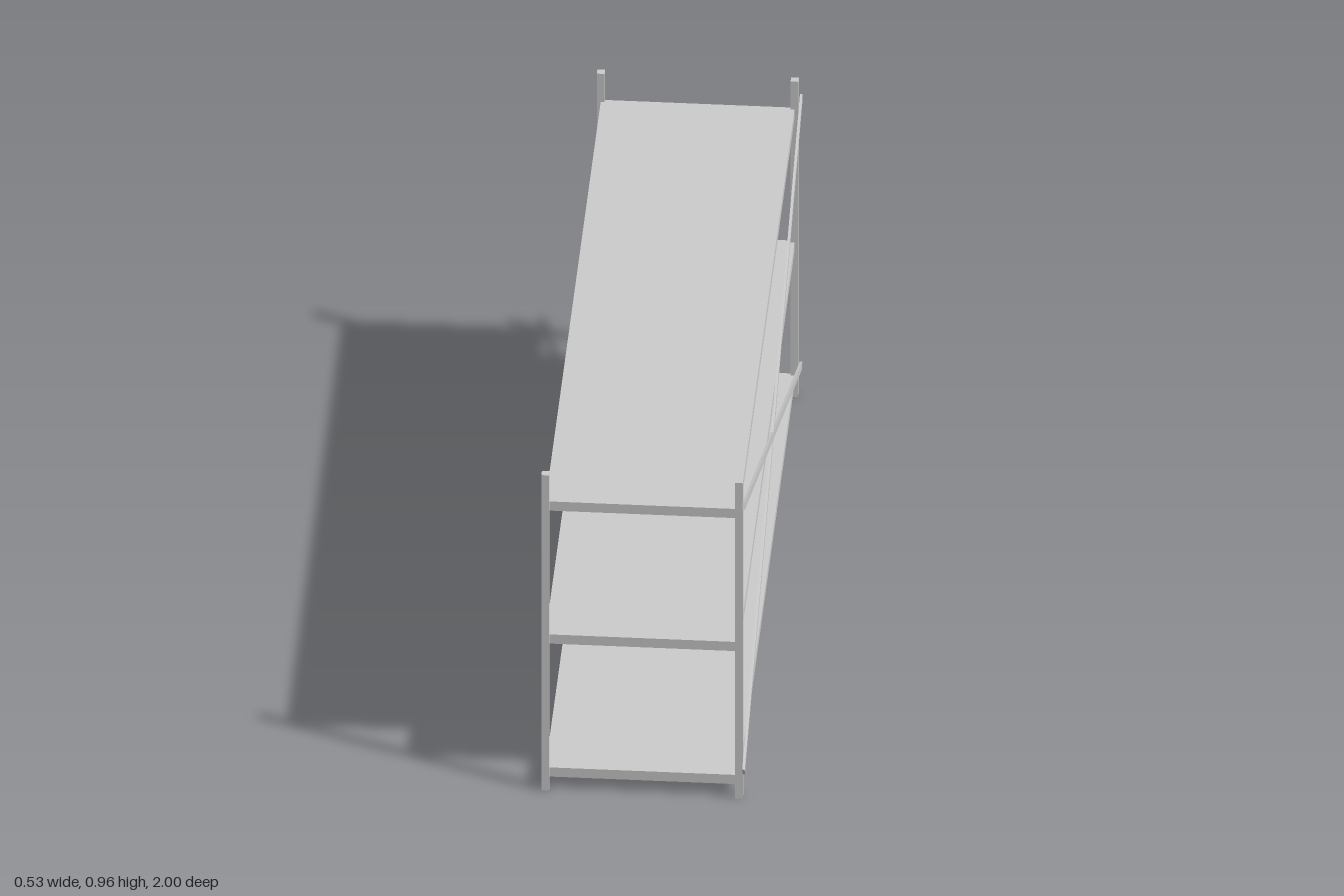
import * as THREE from 'three';

const material = new THREE.MeshStandardMaterial({ color: 0xcccccc, flatShading: true });

const POST_X = [-0.254, 0.246];
const POST_Z = [-0.946, 0.968];
const POST_SIZE = 0.02;
const POST_HEIGHT = 0.965;
const SHELF_THICKNESS = 0.028;

function addBox(parent, name, [w, h, d], [x, y, z]) {
  const mesh = new THREE.Mesh(new THREE.BoxGeometry(w, h, d), material);
  mesh.name = name;
  mesh.position.set(x, y, z);
  parent.add(mesh);
  return mesh;
}

// Flat bar running between two [z, y] points in the plane beside the posts
function addBrace(parent, name, [z0, y0], [z1, y1]) {
  const length = Math.hypot(z1 - z0, y1 - y0);
  const bar = addBox(parent, name, [0.0065, 0.02, length], [0.2593, (y0 + y1) / 2, (z0 + z1) / 2]);
  bar.rotation.x = -Math.atan2(y1 - y0, z1 - z0);
}

export function createModel() {
  const group = new THREE.Group();
  group.name = 'shelvingUnit';

  // Four square corner posts
  for (const x of POST_X) {
    for (const z of POST_Z) {
      const name = (z > 0 ? 'front' : 'back') + (x > 0 ? 'Left' : 'Right') + 'Post';
      addBox(group, name, [POST_SIZE, POST_HEIGHT, POST_SIZE], [x, POST_HEIGHT / 2, z]);
    }
  }

  // Three shelves reaching the centre lines of the posts
  const width = POST_X[1] - POST_X[0];
  const depth = POST_Z[1] - POST_Z[0];
  const midX = (POST_X[0] + POST_X[1]) / 2;
  const midZ = (POST_Z[0] + POST_Z[1]) / 2;
  [['bottomShelf', 0.051], ['middleShelf', 0.458], ['topShelf', 0.865]].forEach(([name, y]) =>
    addBox(group, name, [width, SHELF_THICKNESS, depth], [midX, y, midZ]));

  // Crossed diagonal braces on one long side
  addBrace(group, 'risingBrace', [-0.996, 0.882], [0.996, 0.093]);
  addBrace(group, 'fallingBrace', [-0.982, 0.068], [0.988, 0.902]);

  return group;
}
